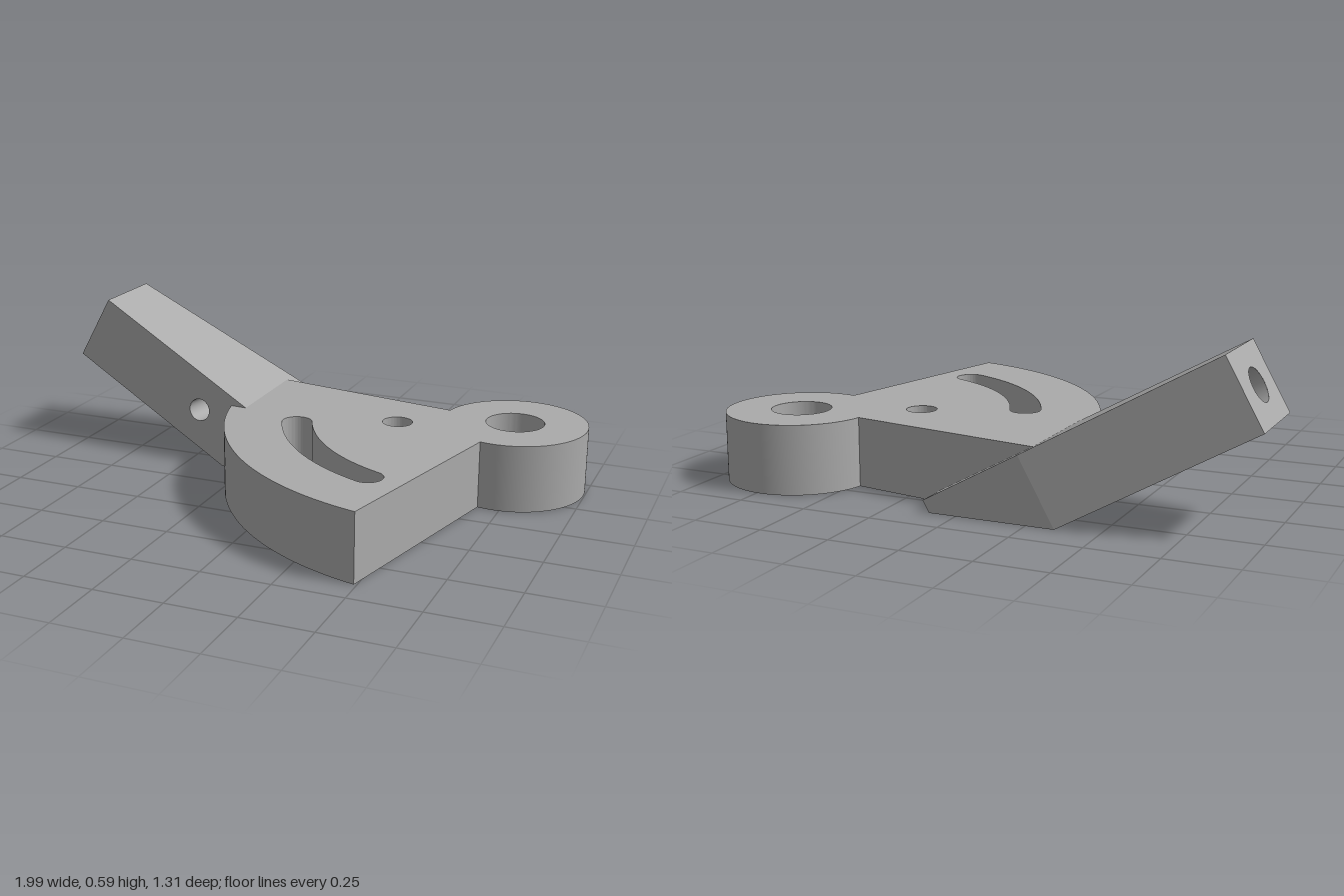
import * as THREE from 'three';
import { toCreasedNormals } from 'three/addons/utils/BufferGeometryUtils.js';

const rad = THREE.MathUtils.degToRad;
const V = (x, y, z) => new THREE.Vector3(x, y, z);

export function createModel() {
  const model = new THREE.Group();
  model.name = 'slottedLeverBracket';
  const metal = new THREE.MeshStandardMaterial({ color: 0xaaaaaa, side: THREE.DoubleSide });
  metal.name = 'plain grey metal';

  const add = (parent, name, geometry) => {
    const mesh = new THREE.Mesh(geometry, metal);
    mesh.name = name;
    parent.add(mesh);
    return mesh;
  };
  const circle = (x, y, r) => new THREE.Path().absarc(x, y, r, 0, Math.PI * 2, true);

  // Sector plate and pivot eye, drawn in plan about the pivot
  const px = 0.73, py = 0.39, a0 = rad(170), a1 = rad(257);
  const plan = new THREE.Shape();
  plan.absarc(px, py, 0.266, a1 - Math.PI * 2, a0, false);
  plan.absarc(px, py, 1.067, a0, a1, false);
  plan.closePath();

  // Curved adjustment slot with round ends
  const s0 = rad(202), s1 = rad(247.3), sr = 0.8, sw = 0.055;
  const slot = new THREE.Path();
  slot.absarc(px, py, sr + sw, s0, s1, false);
  slot.absarc(px + sr * Math.cos(s1), py + sr * Math.sin(s1), sw, s1, s1 + Math.PI, false);
  slot.absarc(px, py, sr - sw, s1, s0, true);
  slot.absarc(px + sr * Math.cos(s0), py + sr * Math.sin(s0), sw, s0 + Math.PI, s0 + Math.PI * 2, false);
  plan.holes.push(circle(px, py, 0.107), circle(0.33, 0.23, 0.055), slot);

  const plate = new THREE.ExtrudeGeometry(plan, { depth: 0.247, bevelEnabled: false, curveSegments: 48 });
  plate.rotateX(-Math.PI / 2);
  add(model, 'sectorPlate', toCreasedNormals(plate, rad(35)));

  // Raised arm: local x runs from the free end down into the plate
  const arm = new THREE.Group();
  arm.name = 'arm';
  arm.position.set(-0.935, 0.475, -0.39);
  arm.rotation.z = -rad(29);
  model.add(arm);

  const h = 0.132, w0 = 0.155, w1 = 0.232, taper = 0.742, end = 1.133;

  // Flat wall spanned by u and v, optionally pierced
  const wall = (name, pts, origin, u, v, hole) => {
    const shape = new THREE.Shape(pts.map(p => new THREE.Vector2(...p)));
    if (hole) shape.holes.push(hole);
    const g = new THREE.ShapeGeometry(shape, 32);
    const m = new THREE.Matrix4().makeBasis(u, v, u.clone().cross(v)).setPosition(origin);
    add(arm, name, g.applyMatrix4(m));
  };

  const len = Math.hypot(taper, w1 - w0), portAt = 0.549 / taper * len;
  const side = [[0, -h], [len, -h], [len, h], [0, h]];
  const trapezoid = [[0, -w0], [taper, -w1], [taper, w1], [0, w0]];
  const out = V(taper, 0, w1 - w0).normalize();
  wall('armEnd', [[-w0, -h], [w0, -h], [w0, h], [-w0, h]], V(0, 0, 0), V(0, 0, 1), V(0, 1, 0), circle(0, 0, 0.06));
  wall('armFrontSide', side, V(0, 0, w0), out, V(0, 1, 0), circle(portAt, 0, 0.043));
  wall('armBackSide', side, V(taper, 0, -w1), V(-out.x, 0, out.z), V(0, 1, 0));
  wall('armTop', trapezoid, V(0, h, 0), V(1, 0, 0), V(0, 0, -1));
  wall('armBottom', trapezoid, V(0, -h, 0), V(1, 0, 0), V(0, 0, 1));

  // Wedge root, trimmed flush with the underside of the plate
  const rootShape = new THREE.Shape(
    [[taper, -h], [end, 0.085], [end, h], [taper, h]].map(p => new THREE.Vector2(...p)));
  const root = new THREE.ExtrudeGeometry(rootShape, { depth: w1 * 2, bevelEnabled: false });
  add(arm, 'armRoot', root.translate(0, 0, -w1));

  // Lengthwise bore with a closed bottom
  const depth = 0.61;
  const bore = new THREE.CylinderGeometry(0.06, 0.06, depth, 32, 1, true);
  add(arm, 'endBore', bore.rotateZ(Math.PI / 2).translate(depth / 2, 0, 0));
  const floor = new THREE.CircleGeometry(0.06, 32);
  add(arm, 'boreFloor', floor.rotateY(-Math.PI / 2).translate(depth, 0, 0));

  // Cross port from the front side into the bore
  const port = new THREE.CylinderGeometry(0.043, 0.043, 0.17, 32, 1, true);
  port.rotateX(Math.PI / 2).translate(portAt, 0, -0.085);
  const portMesh = add(arm, 'sidePort', port);
  portMesh.position.z = w0;
  portMesh.rotation.y = -Math.atan2(w1 - w0, taper);

  return model;
}
